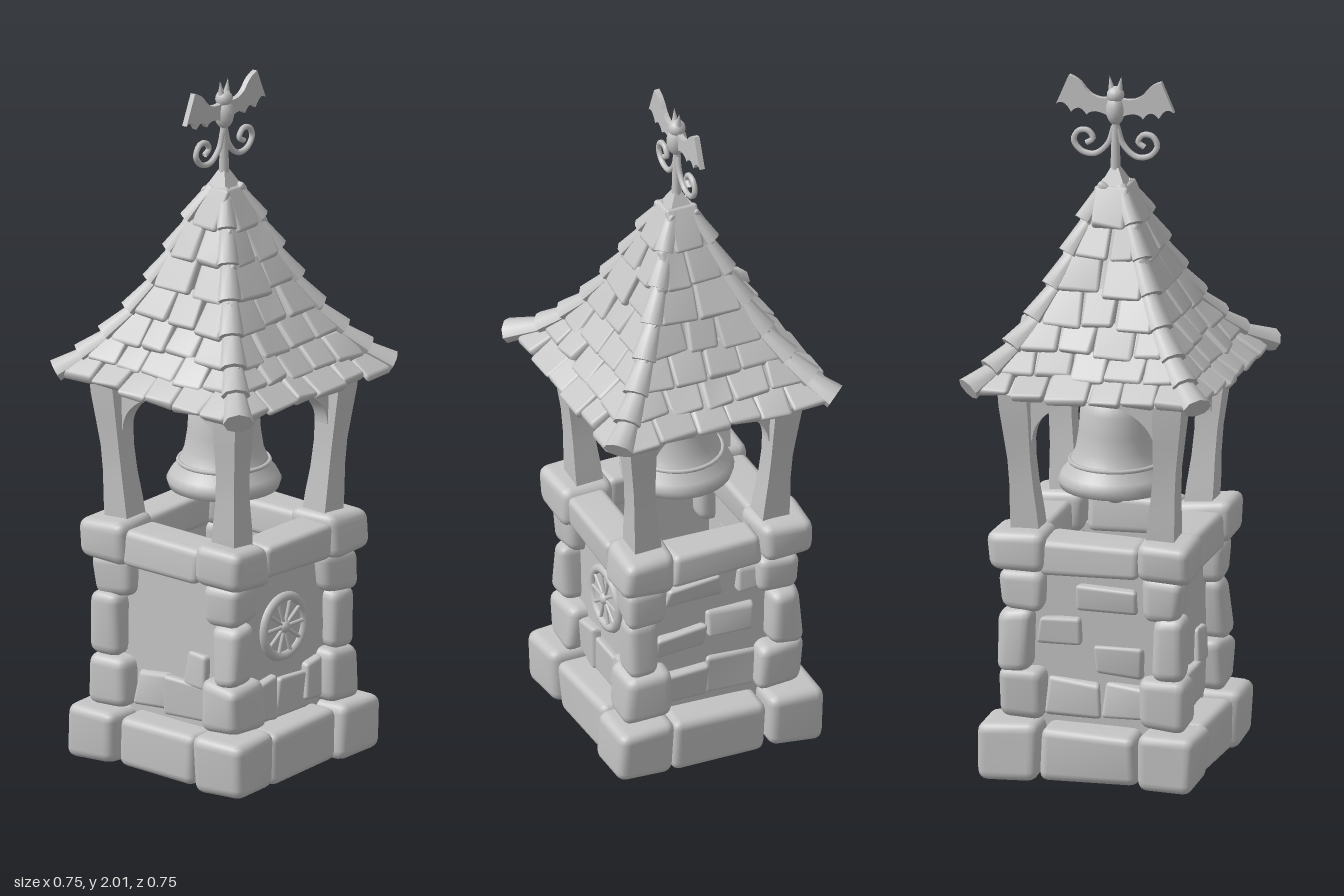
import * as THREE from 'three';
import { mergeVertices, toCreasedNormals } from 'three/addons/utils/BufferGeometryUtils.js';
import { RoundedBoxGeometry } from 'three/addons/geometries/RoundedBoxGeometry.js';

export function createModel() {
  const stone = new THREE.MeshStandardMaterial({ color: 0xc4c4c4, side: THREE.DoubleSide });
  stone.name = 'greyStone';
  let seed = 7;
  const rnd = () => (seed = (seed * 16807) % 2147483647) / 2147483647 - 0.5;

  const add = (parent, name, geo, x = 0, y = 0, z = 0) => {
    const m = new THREE.Mesh(geo, stone);
    m.name = name;
    m.position.set(x, y, z);
    parent.add(m);
    return m;
  };
  const groupIn = (parent, name, angle = 0) => {
    const g = new THREE.Group();
    g.name = name;
    g.rotation.y = angle;
    parent.add(g);
    return g;
  };
  // Rounded block whose eight corners are each pushed a little out of true
  const block = (w, h, d, wobble = 0.02, radius = 0.02) => {
    let g = new RoundedBoxGeometry(w, h, d, 2, Math.min(radius, w * 0.4, h * 0.4, d * 0.4));
    g.deleteAttribute('normal');
    g.deleteAttribute('uv');
    g = mergeVertices(g, 1e-5);
    g.clearGroups();
    const off = Array.from({ length: 8 }, () => [rnd() * wobble, rnd() * wobble, rnd() * wobble]);
    const p = g.attributes.position;
    for (let i = 0; i < p.count; i++) {
      const f = [p.getX(i) / w + 0.5, p.getY(i) / h + 0.5, p.getZ(i) / d + 0.5];
      const v = [p.getX(i), p.getY(i), p.getZ(i)];
      for (let c = 0; c < 8; c++) {
        const k = (c & 1 ? f[0] : 1 - f[0]) * (c & 2 ? f[1] : 1 - f[1]) * (c & 4 ? f[2] : 1 - f[2]);
        for (let a = 0; a < 3; a++) v[a] += k * off[c][a];
      }
      p.setXYZ(i, ...v);
    }
    g.computeVertexNormals();
    return g;
  };
  // Piece running from a to b, built along y
  const between = (parent, name, geo, a, b) => {
    const m = add(parent, name, geo);
    m.position.copy(a).add(b).multiplyScalar(0.5);
    m.quaternion.setFromUnitVectors(new THREE.Vector3(0, 1, 0), b.clone().sub(a).normalize());
    return m;
  };
  const V = (x, y, z) => new THREE.Vector3(x, y, z);

  const root = new THREE.Group();
  root.name = 'bellTower';
  const tower = groupIn(root, 'tower');
  tower.position.set(-0.012, 0, -0.008);

  // Corner stones: bottom, top, outer half width, size
  const courses = [[0, 0.17, 0.318, 0.175], [0.165, 0.315, 0.275, 0.14], [0.31, 0.49, 0.27, 0.095],
    [0.485, 0.61, 0.266, 0.125], [0.6, 0.72, 0.293, 0.16]];
  const corners = [[1, 1], [1, -1], [-1, -1], [-1, 1]];
  for (const [y0, y1, half, size] of courses)
    for (const [sx, sz] of corners)
      add(tower, 'cornerStone', block(size, y1 - y0, size, 0.022, 0.03),
        sx * (half - size / 2), (y0 + y1) / 2, sz * (half - size / 2));

  // Loose wall stones on each side: x, y, width, height
  const wallStones = [
    [[-0.07, 0.23, 0.13, 0.11], [0.05, 0.225, 0.16, 0.11], [0.09, 0.325, 0.08, 0.09]],
    [[-0.09, 0.23, 0.11, 0.12], [0.03, 0.225, 0.14, 0.11], [0.11, 0.24, 0.07, 0.12]],
    [[-0.08, 0.23, 0.14, 0.1], [0.07, 0.24, 0.15, 0.12], [-0.09, 0.38, 0.14, 0.07],
      [0.06, 0.42, 0.16, 0.08], [-0.05, 0.53, 0.18, 0.07], [0.12, 0.54, 0.08, 0.07]],
    [[-0.06, 0.23, 0.16, 0.11], [0.09, 0.23, 0.12, 0.1], [0.08, 0.35, 0.14, 0.08],
      [-0.1, 0.43, 0.12, 0.08], [0.04, 0.53, 0.17, 0.08]],
  ];
  for (let s = 0; s < 4; s++) {
    const side = groupIn(tower, 'towerSide', s * Math.PI / 2);
    add(side, 'baseStone', block(0.285, 0.15, 0.14, 0.02, 0.025), 0, 0.08, 0.235);
    add(side, 'copingStone', block(0.275, 0.1, 0.12, 0.02), 0, 0.655, 0.222);
    add(side, 'wallPanel', new THREE.BoxGeometry(0.42, 0.5, 0.03), 0, 0.37, 0.2);
    for (const [x, y, w, h] of wallStones[s])
      add(side, 'wallStone', block(w, h, 0.05, 0.025, 0.012), x, y, 0.211);

    // Arched brace and beam beneath the eaves
    const arch = new THREE.Shape();
    arch.moveTo(0.215, 0.98).lineTo(0.215, 1.05);
    arch.absellipse(0, 1.05, 0.215, 0.11, 0, Math.PI, false);
    arch.lineTo(-0.215, 0.98).lineTo(-0.178, 0.98);
    arch.absellipse(0, 0.98, 0.178, 0.125, Math.PI, 0, true);
    const archGeo = new THREE.ExtrudeGeometry(arch, { depth: 0.045, bevelEnabled: false, curveSegments: 14 });
    add(side, 'archBrace', toCreasedNormals(archGeo, 0.6), 0, 0, 0.185);
    add(side, 'eaveBeam', block(0.46, 0.04, 0.05, 0.01, 0.008), 0, 1.145, 0.21);
  }

  // Posts curving gently outward at the top
  for (const [sx, sz] of corners) {
    const g = new THREE.BoxGeometry(0.075, 0.47, 0.075, 1, 6, 1);
    const p = g.attributes.position;
    for (let i = 0; i < p.count; i++) {
      const t = p.getY(i) / 0.47 + 0.5;
      const lean = 0.035 * t, fat = 1 + 0.12 * Math.cos(t * 7);
      p.setX(i, p.getX(i) * fat + sx * lean);
      p.setZ(i, p.getZ(i) * fat + sz * lean);
    }
    add(tower, 'roofPost', toCreasedNormals(g, 0.5), sx * 0.195, 0.925, sz * 0.195);
  }

  // Wheel window on the model's left side
  const wheel = groupIn(tower, 'wheelWindow', Math.PI / 2);
  wheel.position.set(0.218, 0.425, 0);
  add(wheel, 'windowRim', new THREE.TorusGeometry(0.087, 0.014, 8, 32));
  add(wheel, 'windowPane', new THREE.CircleGeometry(0.085, 32), 0, 0, 0.002);
  add(wheel, 'windowHub', new THREE.SphereGeometry(0.02, 12, 8));
  for (let i = 0; i < 10; i++) {
    const a = i * Math.PI / 5, r = 0.082;
    between(wheel, 'windowSpoke', new THREE.CylinderGeometry(0.006, 0.005, r, 6),
      V(0, 0, 0.005), V(Math.cos(a) * r, Math.sin(a) * r, 0.005));
  }

  // Bell with clapper and hanger
  const bell = groupIn(tower, 'bell');
  const bellProfile = [[0, 0.83], [0.1, 0.81], [0.135, 0.79], [0.155, 0.797], [0.162, 0.82], [0.152, 0.84], [0.128, 0.87],
    [0.112, 0.91], [0.104, 0.96], [0.1, 1.02], [0.085, 1.055], [0.055, 1.075], [0, 1.08]];
  add(bell, 'bellBody', new THREE.LatheGeometry(bellProfile.map(q => new THREE.Vector2(...q)), 32));
  const band = add(bell, 'bellBand', new THREE.TorusGeometry(0.129, 0.006, 6, 32), 0, 0.873);
  band.rotation.x = Math.PI / 2;
  add(bell, 'clapper', new THREE.SphereGeometry(0.04, 16, 12), 0, 0.785);
  add(bell, 'hanger', new THREE.CylinderGeometry(0.02, 0.028, 0.08, 12), 0, 1.105);
  add(bell, 'bellBeam', block(0.44, 0.045, 0.05, 0.01, 0.008), 0, 1.15);

  // Flared roof: distance from the axis and height of each course
  const roof = groupIn(tower, 'roof');
  const rows = [[0.335, 1.137], [0.28, 1.185], [0.232, 1.243], [0.184, 1.315], [0.142, 1.4], [0.104, 1.49], [0.069, 1.58], [0.03, 1.675]];
  const skin = new THREE.LatheGeometry(rows.map(([d, y]) => new THREE.Vector2((d - 0.012) * Math.SQRT2, y)), 4, Math.PI / 4);
  add(roof, 'roofLining', toCreasedNormals(skin, 0.4));
  for (let s = 0; s < 4; s++) {
    const side = groupIn(roof, 'roofSide', s * Math.PI / 2);
    for (let r = 0; r < rows.length - 1; r++) {
      const [d0, y0] = rows[r], [d1, y1] = rows[r + 1];
      const len = Math.hypot(d0 - d1, y1 - y0) + 0.022;
      const width = d0 + d1, n = Math.max(1, Math.round(width / 0.1));
      const cuts = Array.from({ length: n + 1 }, (_, i) => (i / n - 0.5) * width + (i % n ? rnd() * 0.03 : 0));
      for (let i = 0; i < n; i++) {
        const slip = rnd() * 0.02;
        const tile = add(side, 'roofTile', block(cuts[i + 1] - cuts[i] - 0.003, 0.026, len, 0.014, 0.012),
          (cuts[i] + cuts[i + 1]) / 2, (y0 + y1) / 2 + 0.006 - slip * 0.6, (d0 + d1) / 2 + 0.004 + slip * 0.6);
        tile.rotation.x = Math.atan2(y1 - y0, d0 - d1) - 0.13;
        tile.rotation.z = rnd() * 0.06;
      }
    }
    // Overlapping hip tiles, wide at the lower end
    const hip = groupIn(roof, 'hip', s * Math.PI / 2 + Math.PI / 4);
    for (let r = 0; r < rows.length - 1; r++) {
      const [d0, y0] = rows[r], [d1, y1] = rows[r + 1];
      const out = r ? 0.006 : s === 0 ? 0.022 : 0;
      const a = V(0, y0 + 0.012, (d0 + out) * Math.SQRT2), b = V(0, y1 + 0.012, (d1 - 0.006) * Math.SQRT2);
      const g = new THREE.CylinderGeometry(0.029 - r * 0.002, 0.044 - r * 0.0025, a.distanceTo(b), 8);
      g.scale(1, 1, 0.75);
      between(hip, 'hipTile', toCreasedNormals(g, 0.9), a, b);
    }
  }
  const cap = new THREE.CylinderGeometry(0.016, 0.078, 0.085, 4);
  cap.rotateY(Math.PI / 4);
  add(roof, 'roofCap', toCreasedNormals(cap, 0.4), 0, 1.69);

  // Weather vane: rod, scrolls and bat
  const vane = groupIn(tower, 'weatherVane');
  add(vane, 'vaneRod', new THREE.CylinderGeometry(0.01, 0.016, 0.2, 10), 0, 1.79);
  const scroll = [[0.005, 1.85], [0.022, 1.8], [0.06, 1.767], [0.1, 1.772], [0.122, 1.802], [0.108, 1.83], [0.08, 1.832],
    [0.066, 1.81], [0.085, 1.796]];
  const wing = new THREE.Shape();
  wing.moveTo(0.015, 1.935).quadraticCurveTo(0.06, 1.925, 0.085, 1.955);
  wing.quadraticCurveTo(0.105, 1.985, 0.135, 1.992);
  wing.quadraticCurveTo(0.155, 1.945, 0.172, 1.905);
  wing.quadraticCurveTo(0.15, 1.925, 0.128, 1.885);
  wing.quadraticCurveTo(0.105, 1.915, 0.082, 1.88);
  wing.quadraticCurveTo(0.065, 1.905, 0.015, 1.88);
  for (const s of [1, -1]) {
    const curve = new THREE.CatmullRomCurve3(scroll.map(([z, y]) => V(0, y, s * z)));
    add(vane, 'scroll', new THREE.TubeGeometry(curve, 48, 0.0085, 6));
    const g = new THREE.ExtrudeGeometry(wing, { depth: 0.016, bevelEnabled: false, curveSegments: 6 });
    g.translate(0, 0, -0.008);
    g.rotateY(-s * Math.PI / 2);
    add(vane, 'batWing', g);
    const ear = add(vane, 'batEar', new THREE.ConeGeometry(0.011, 0.045, 8), 0, 1.977, s * 0.014);
    ear.rotation.x = s * 0.15;
  }
  add(vane, 'batBody', new THREE.SphereGeometry(0.03, 16, 12), 0, 1.9).scale.set(1, 1.5, 0.9);
  add(vane, 'batHead', new THREE.SphereGeometry(0.025, 16, 12), 0, 1.943);
  return root;
}
